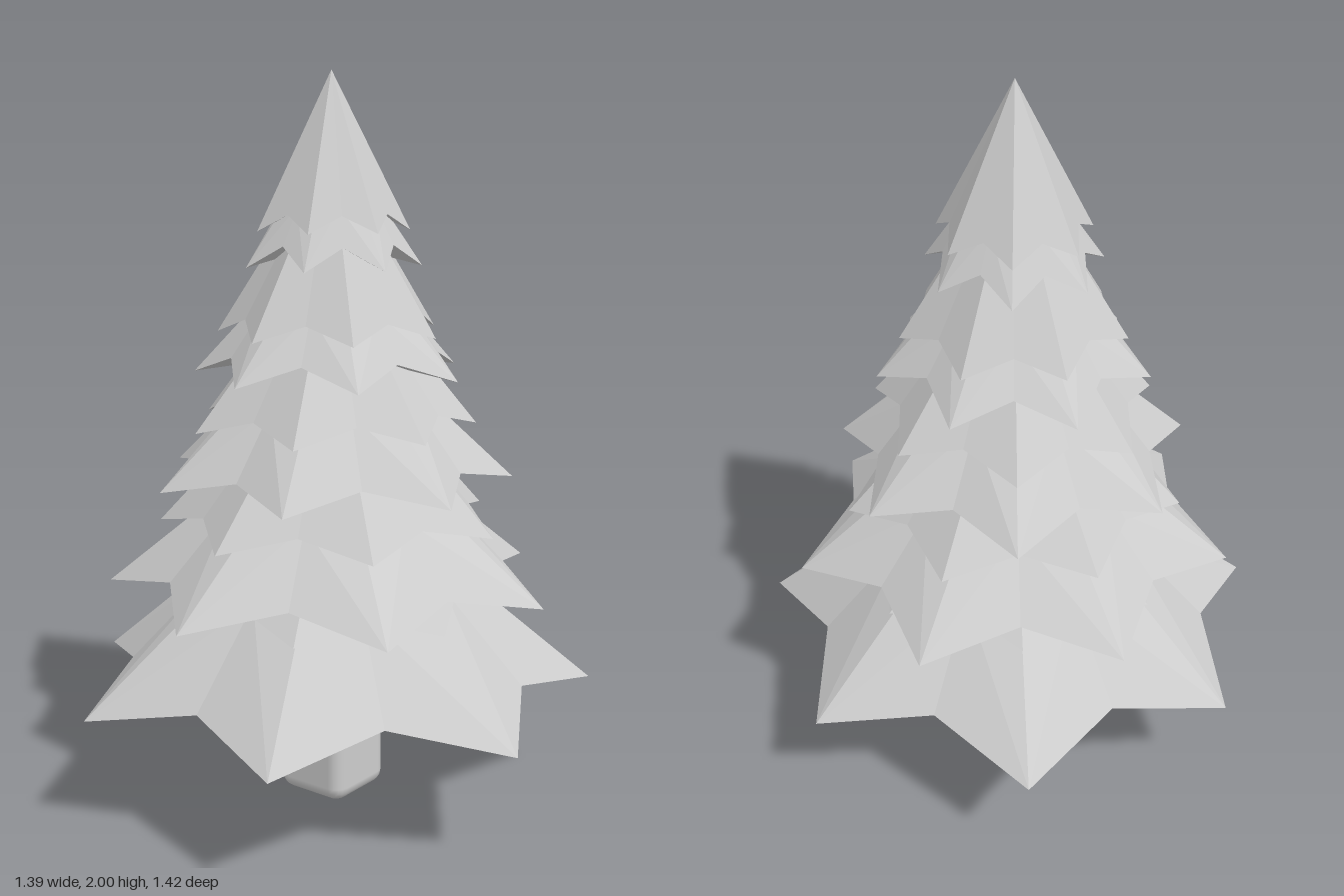
import * as THREE from 'three';
import { RoundedBoxGeometry } from 'three/addons/geometries/RoundedBoxGeometry.js';

const POINTS = 7;
const AXIS_X = -0.036;

// One star-shaped ring: tips and valleys alternate, valleys sit closer in and higher up
function starRing(tipR, tipY, valleyR, valleyY, turn) {
  const ring = [];
  for (let i = 0; i < POINTS * 2; i++) {
    const tip = i % 2 === 0;
    const a = turn + (i * Math.PI) / POINTS;
    const r = tip ? tipR : valleyR;
    ring.push(new THREE.Vector3(r * Math.cos(a), tip ? tipY : valleyY, r * Math.sin(a)));
  }
  return ring;
}

// Joins consecutive rings into faceted bands
function loft(rings) {
  const pos = [];
  const n = POINTS * 2;
  const tri = (a, b, c) => {
    const area = b.clone().sub(a).cross(c.clone().sub(a)).length();
    if (area > 1e-7) pos.push(...a.toArray(), ...b.toArray(), ...c.toArray());
  };
  for (let k = 0; k < rings.length - 1; k++) {
    for (let i = 0; i < n; i++) {
      const j = (i + 1) % n;
      const a = rings[k][i], b = rings[k][j], c = rings[k + 1][i], d = rings[k + 1][j];
      // split each quad along the edge that keeps ridges straight
      if (i % 2 === 0) { tri(a, b, c); tri(b, d, c); }
      else { tri(a, b, d); tri(a, d, c); }
    }
  }
  const g = new THREE.BufferGeometry();
  g.setAttribute('position', new THREE.Float32BufferAttribute(pos, 3));
  g.computeVertexNormals();
  return g;
}

// Per tier: apex height, upper rim, recess and lower rim as [tip radius, tip height]
const TIERS = [
  { apex: 0.97, upper: [0.46, 0.565], recess: [0.42, 0.58], lower: [0.73, 0.32], valley: 0.385, turn: 0 },
  { apex: 1.30, upper: [0.475, 0.785], recess: [0.385, 0.80], lower: [0.62, 0.61], valley: 0.665, turn: 0.9 },
  { apex: 1.55, upper: [0.395, 1.06], recess: [0.31, 1.085], lower: [0.497, 0.91], valley: 0.955, turn: 2 },
  { apex: 1.80, upper: [0.31, 1.31], recess: [0.25, 1.335], lower: [0.375, 1.20], valley: 1.255, turn: 3.3 },
  { apex: 2.00, upper: [0.21, 1.585], recess: [0.165, 1.605], lower: [0.243, 1.49], valley: 1.55, turn: 4.5 },
];

export function createModel() {
  const model = new THREE.Group();
  model.name = 'pineTree';
  const grey = new THREE.MeshStandardMaterial({ color: 0xcccccc });
  grey.name = 'plain grey';

  // Trunk with softened edges
  const trunk = new THREE.Mesh(new RoundedBoxGeometry(0.222, 0.5, 0.222, 2, 0.04), grey);
  trunk.name = 'trunk';
  trunk.position.set(AXIS_X, 0.25, 0);
  model.add(trunk);

  // Foliage tiers, each turned half a point from the one below
  TIERS.forEach((t, k) => {
    const turn = THREE.MathUtils.degToRad(t.turn) + (k % 2 ? Math.PI / POINTS : 0);
    const point = (y) => starRing(0, y, 0, y, turn);
    const rim = ([r, y], ratio, lift) => starRing(r, y, r * ratio, y + lift, turn);
    const tier = new THREE.Mesh(loft([
      point(t.apex),
      rim(t.upper, 0.8, 0.045),
      rim(t.recess, 0.8, 0.045),
      rim(t.lower, 0.77, t.valley - t.lower[1]),
      point(t.valley),
    ]), grey);
    tier.name = 'foliageTier' + (k + 1);
    tier.position.x = AXIS_X;
    model.add(tier);
  });

  return model;
}
